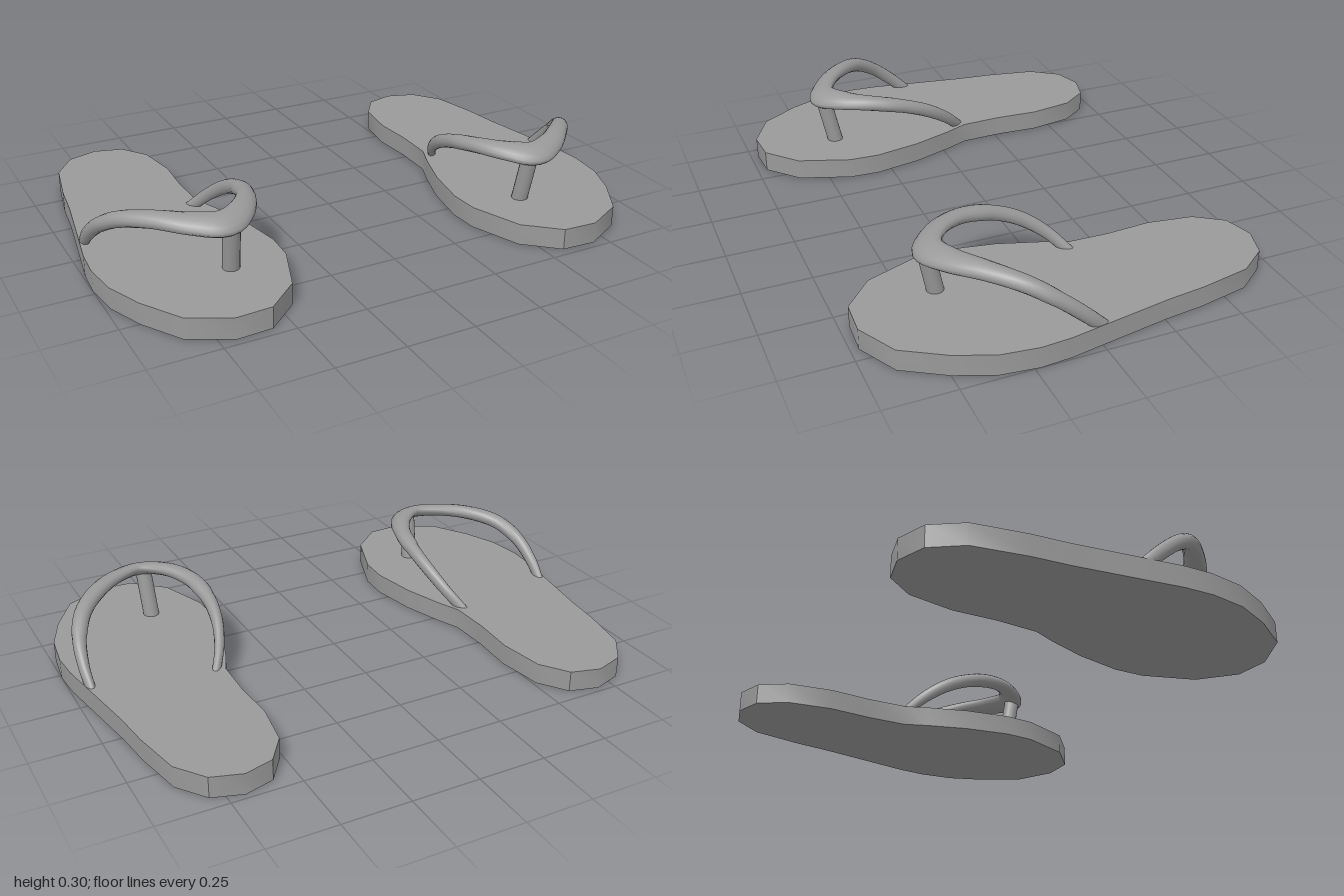
import * as THREE from 'three';
import { toCreasedNormals } from 'three/addons/utils/BufferGeometryUtils.js';

const SOLE_HEIGHT = 0.078;

// Sole outline of the left sandal as [x, z], starting at the heel
const OUTLINE = [
  [0.69, -0.73], [0.8, -0.695], [0.877, -0.59], [0.914, -0.4], [0.93, -0.26], [0.968, -0.03],
  [0.993, 0.12], [1, 0.23], [0.984, 0.364], [0.93, 0.5], [0.84, 0.647], [0.695, 0.722],
  [0.567, 0.715], [0.449, 0.61], [0.38, 0.42], [0.374, 0.305], [0.406, 0.13], [0.455, -0.02],
  [0.492, -0.11], [0.497, -0.267], [0.487, -0.43], [0.513, -0.6], [0.583, -0.7],
];

// Strap stations: x, y, z, half width, half thickness, tilt
const STRAP = [
  [0.955, 0.06, -0.01, 0.016, 0.022, 0],
  [0.957, 0.12, 0.055, 0.02, 0.025, 0],
  [0.942, 0.19, 0.14, 0.025, 0.026, 0],
  [0.897, 0.243, 0.23, 0.031, 0.028, 0.1],
  [0.81, 0.267, 0.33, 0.037, 0.027, 0.25],
  [0.71, 0.267, 0.415, 0.046, 0.025, 0.4],
  [0.61, 0.262, 0.455, 0.054, 0.024, 0.45],
  [0.525, 0.268, 0.395, 0.045, 0.025, 0.35],
  [0.467, 0.262, 0.29, 0.034, 0.027, 0.2],
  [0.446, 0.237, 0.17, 0.027, 0.027, 0],
  [0.453, 0.192, 0.06, 0.022, 0.026, 0],
  [0.482, 0.13, -0.03, 0.018, 0.023, 0],
  [0.528, 0.06, -0.1, 0.015, 0.02, 0],
];

function soleGeometry(side) {
  const shape = new THREE.Shape(OUTLINE.map(([x, z]) => new THREE.Vector2(side * x, -z)));
  const geo = new THREE.ExtrudeGeometry(shape, { depth: SOLE_HEIGHT, bevelEnabled: false });
  geo.rotateX(-Math.PI / 2);
  return toCreasedNormals(geo, Math.PI / 5);
}

// Sweep an ellipse of changing size and tilt along the strap path
function strapGeometry(side, steps = 60, ring = 14) {
  const path = new THREE.CatmullRomCurve3(STRAP.map(([x, y, z]) => new THREE.Vector3(side * x, y, z)));
  const size = new THREE.CatmullRomCurve3(STRAP.map((p) => new THREE.Vector3(p[3], p[4], p[5])));
  const up = new THREE.Vector3(0, 1, 0);
  const positions = [];
  const indices = [];
  for (let i = 0; i <= steps; i++) {
    const t = i / steps;
    const centre = path.getPoint(t);
    const tangent = path.getTangent(t);
    const across = new THREE.Vector3().crossVectors(tangent, up).normalize();
    const normal = new THREE.Vector3().crossVectors(across, tangent);
    const { x: width, y: thickness, z: tilt } = size.getPoint(t);
    across.applyAxisAngle(tangent, -side * tilt);
    normal.applyAxisAngle(tangent, -side * tilt);
    for (let j = 0; j < ring; j++) {
      const a = (j / ring) * Math.PI * 2;
      const p = centre.clone()
        .addScaledVector(across, width * Math.cos(a))
        .addScaledVector(normal, thickness * Math.sin(a));
      positions.push(p.x, p.y, p.z);
      if (i < steps) {
        const k = (j + 1) % ring;
        const a0 = i * ring + j, b0 = i * ring + k;
        indices.push(a0, a0 + ring, b0, b0, a0 + ring, b0 + ring);
      }
    }
  }
  const geo = new THREE.BufferGeometry();
  geo.setAttribute('position', new THREE.Float32BufferAttribute(positions, 3));
  geo.setIndex(indices);
  geo.computeVertexNormals();
  return geo;
}

// Slightly leaning post between the toes
function toePost(side, material) {
  const bottom = new THREE.Vector3(side * 0.582, 0.07, 0.42);
  const top = new THREE.Vector3(side * 0.59, 0.255, 0.458);
  const dir = top.clone().sub(bottom);
  const post = new THREE.Mesh(new THREE.CylinderGeometry(0.03, 0.03, dir.length(), 16), material);
  post.position.copy(bottom).add(top).multiplyScalar(0.5);
  post.quaternion.setFromUnitVectors(new THREE.Vector3(0, 1, 0), dir.normalize());
  post.name = 'toePost';
  return post;
}

export function createModel() {
  const rubber = new THREE.MeshStandardMaterial({ color: 0x999999 });
  rubber.name = 'grey rubber';

  const model = new THREE.Group();
  model.name = 'sandals';
  for (const side of [1, -1]) {
    const sandal = new THREE.Group();
    sandal.name = side > 0 ? 'leftSandal' : 'rightSandal';
    const sole = new THREE.Mesh(soleGeometry(side), rubber);
    sole.name = 'sole';
    const strap = new THREE.Mesh(strapGeometry(side), rubber);
    strap.name = 'strap';
    sandal.add(sole, strap, toePost(side, rubber));
    model.add(sandal);
  }
  return model;
}
